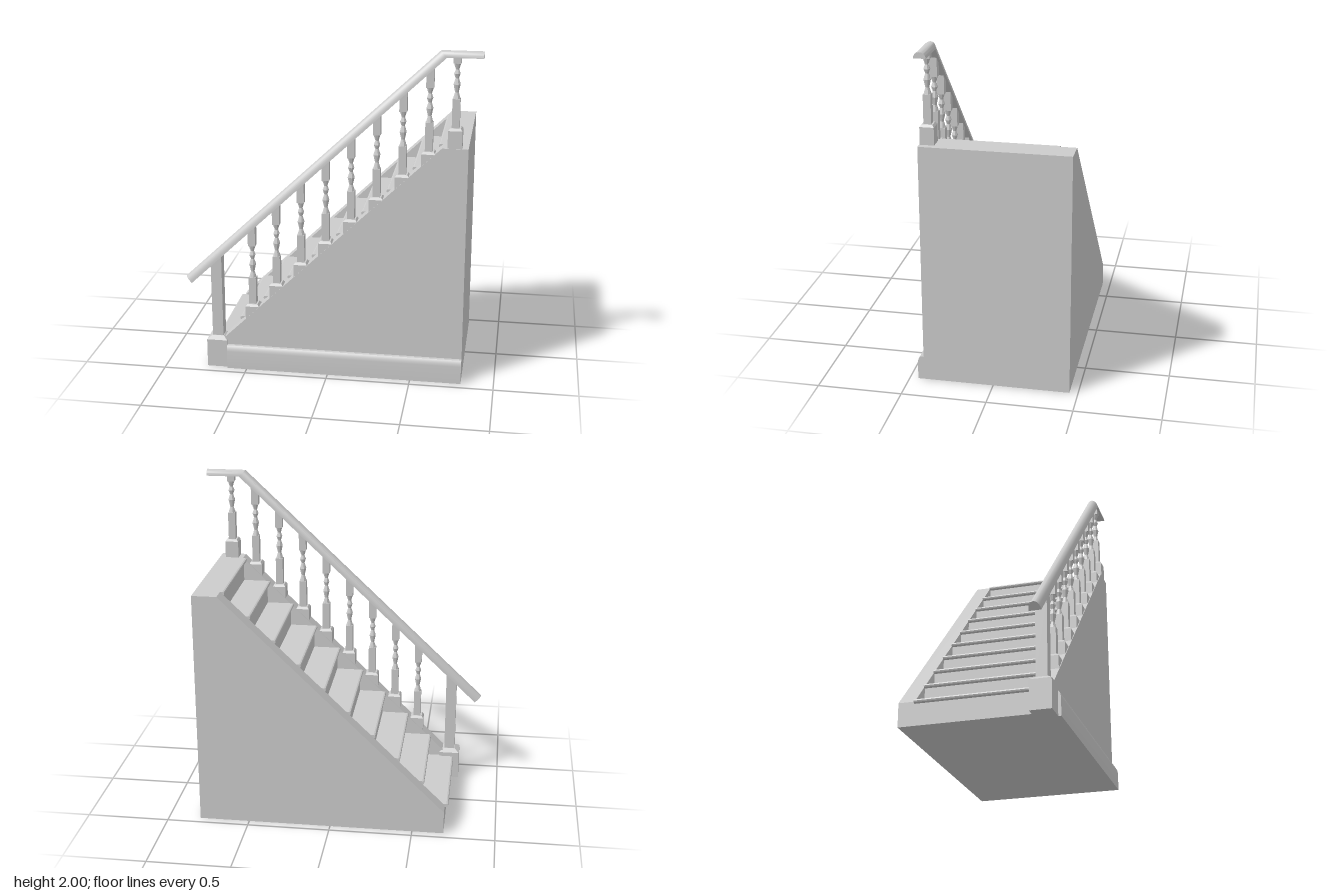
import * as THREE from 'three';
import { toCreasedNormals } from 'three/addons/utils/BufferGeometryUtils.js';

const RUN = 0.149, RISE = 0.144, STEPS = 10;
const X0 = -0.69, XR = 0.805, TOP = 1.445, RAIL_Z = 0.37;
const flat = new THREE.MeshStandardMaterial({ color: 0xcccccc, flatShading: true });
const smooth = new THREE.MeshStandardMaterial({ color: 0xcccccc });

// Height of the handrail underside at x
const railBottom = x => Math.min(1.965, 0.529 + (x + 0.836) * 0.9535);

function add(parent, name, geometry, material = flat) {
  const mesh = new THREE.Mesh(geometry, material);
  mesh.name = name;
  parent.add(mesh);
  return mesh;
}

// Extrude an x-y outline between two z values
function slab(points, z0, z1) {
  const shape = new THREE.Shape(points.map(p => new THREE.Vector2(...p)));
  return new THREE.ExtrudeGeometry(shape, { depth: z1 - z0, bevelEnabled: false }).translate(0, 0, z0);
}

// Square post at (x, RAIL_Z); when y1 is omitted its top is cut to the rail slope
function post(x, half, y0, y1) {
  const g = new THREE.BoxGeometry(half * 2, 1, half * 2).translate(x, 0.5, RAIL_Z);
  const p = g.attributes.position;
  for (let i = 0; i < p.count; i++) {
    p.setY(i, p.getY(i) < 0.5 ? y0 : y1 ?? railBottom(p.getX(i)) + 0.004);
  }
  return g;
}

// Chamfered cap: square frustum
function cap(x, half, topHalf, y0, y1) {
  return new THREE.CylinderGeometry(topHalf * Math.SQRT2, half * Math.SQRT2, y1 - y0, 4)
    .rotateY(Math.PI / 4).translate(x, (y0 + y1) / 2, RAIL_Z);
}

// Domed handrail lofted through three stations, each given by its bottom and apex
function handrail() {
  const stations = [
    [-0.836, 0.529, -0.875, 0.565],
    [0.67, 1.965, 0.635, 2.0],
    [0.875, 1.965, 0.875, 2.0],
  ];
  const N = 16, pos = [], idx = [];
  for (const [bx, by, tx, ty] of stations) {
    for (let j = 0; j <= N; j++) {
      const a = Math.PI * j / N, s = Math.sin(a);
      pos.push(bx + (tx - bx) * s, by + (ty - by) * s, RAIL_Z + 0.035 * Math.cos(a));
    }
  }
  const M = N + 1;
  for (let k = 0; k < 2; k++) {
    for (let j = 0; j < M; j++) {
      const a = k * M + j, b = k * M + (j + 1) % M;
      idx.push(a, a + M, b, b, a + M, b + M);
    }
  }
  for (let j = 1; j < N; j++) {
    idx.push(0, j, j + 1);
    idx.push(2 * M, 2 * M + j + 1, 2 * M + j);
  }
  const g = new THREE.BufferGeometry();
  g.setAttribute('position', new THREE.Float32BufferAttribute(pos, 3));
  g.setIndex(idx);
  return toCreasedNormals(g, 0.6);
}

export function createModel() {
  const model = new THREE.Group();
  model.name = 'staircase';

  // Steps with rounded nosings, closed down to the floor
  const steps = [[X0, 0]];
  for (let i = 0; i < STEPS; i++) {
    const x = X0 + RUN * i, y = 0.149 + RISE * i;
    steps.push([x, y - 0.022]);
    for (let k = 0; k <= 4; k++) {
      const a = Math.PI * k / 4;
      steps.push([x - 0.01 - 0.011 * Math.sin(a), y - 0.011 - 0.011 * Math.cos(a)]);
    }
    steps.push(i < STEPS - 1 ? [x + RUN, y] : [XR, y]);
  }
  steps.push([XR, 0]);
  add(model, 'steps', slab(steps.reverse(), -0.355, 0.32));

  // Sloped side walls
  const wall = [[X0, 0], [XR, 0], [XR, TOP], [0.655, TOP], [X0, 0.14]];
  add(model, 'backWall', slab(wall, -0.45, -0.355));
  add(model, 'frontWall', slab(wall, 0.32, 0.415));

  // Skirting board with a rounded upper edge
  const skirt = new THREE.Shape();
  skirt.moveTo(0.41, 0);
  skirt.lineTo(0.45, 0);
  skirt.lineTo(0.45, 0.1);
  skirt.quadraticCurveTo(0.45, 0.13, 0.435, 0.145);
  skirt.lineTo(0.41, 0.145);
  const skirtGeo = new THREE.ExtrudeGeometry(skirt, { depth: XR + 0.62, bevelEnabled: false, curveSegments: 6 })
    .rotateY(-Math.PI / 2).scale(1, 1, 1);
  // The turned profile runs along -x with its depth mirrored, so turn it about to face the front
  skirtGeo.rotateY(Math.PI).rotateY(Math.PI / 2);
  skirtGeo.rotateY(-Math.PI / 2);
  skirtGeo.computeBoundingBox();
  const along = skirtGeo.boundingBox;
  skirtGeo.translate(-0.62 - along.min.x, 0, 0);
  // Swap ends in z if needed by a half turn about the middle
  if (along.max.z < 0) skirtGeo.rotateY(Math.PI).translate(XR - 0.62, 0, 0);
  add(model, 'skirtingBoard', toCreasedNormals(skirtGeo, 0.6), smooth);

  // Newel post on its plinth
  const newel = new THREE.Group();
  newel.name = 'newelPost';
  model.add(newel);
  const nx = -0.683;
  add(newel, 'newelPlinth', post(nx, 0.063, 0, 0.175));
  add(newel, 'newelCap', cap(nx, 0.063, 0.036, 0.175, 0.195));
  add(newel, 'newelShaft', post(nx, 0.033, 0.19));

  // Turned balusters: plinth, square foot, faceted spindle, square head
  const profile = [[0.023, 0.165], [0.011, 0.205], [0.021, 0.25], [0.010, 0.285],
    [0.019, 0.31], [0.010, 0.335], [0.023, 0.375]];
  for (let i = 0; i < 9; i++) {
    const x = -0.465 + RUN * i, y = 0.412 + RISE * i * 0.997;
    const baluster = new THREE.Group();
    baluster.name = 'baluster' + (i + 1);
    model.add(baluster);
    add(baluster, 'plinth', post(x, 0.041, y - 0.15, y - 0.013));
    add(baluster, 'plinthCap', cap(x, 0.041, 0.031, y - 0.013, y));
    add(baluster, 'foot', post(x, 0.022, y - 0.005, y + 0.168));
    const spindle = new THREE.LatheGeometry(profile.map(p => new THREE.Vector2(...p)), 8, Math.PI / 8);
    add(baluster, 'spindle', spindle.translate(x, y, RAIL_Z));
    add(baluster, 'head', post(x, 0.022, y + 0.37));
  }

  add(model, 'handrail', handrail(), smooth);
  return model;
}
